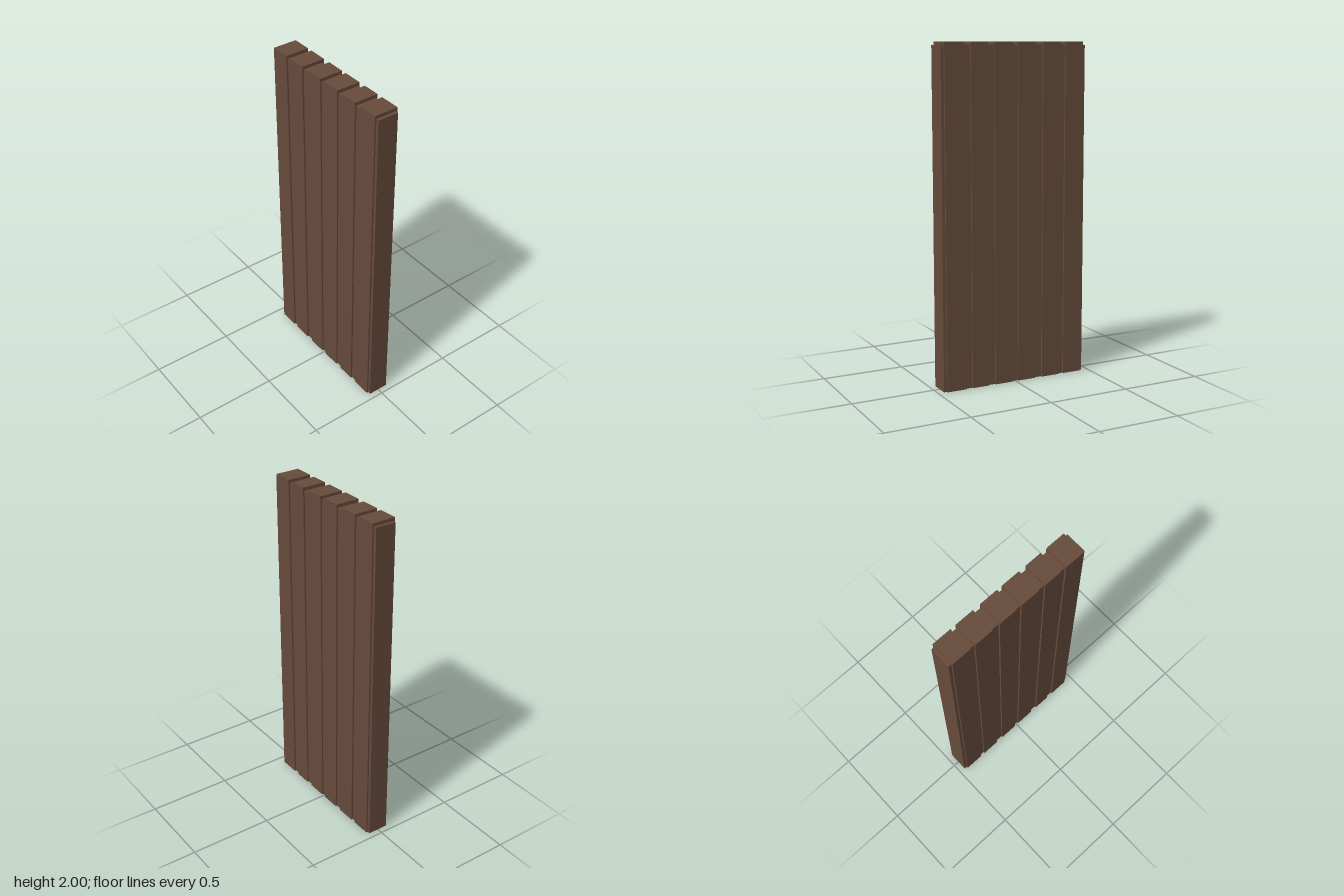
import * as THREE from 'three';

export function createModel() {
  const group = new THREE.Group();
  group.name = 'plankDoor';
  const wood = new THREE.MeshStandardMaterial({ color: 0x664b3b });

  // Upright box standing on the ground between two x positions
  function upright(name, x0, x1, height, depth) {
    const mesh = new THREE.Mesh(new THREE.BoxGeometry(x1 - x0, height, depth), wood);
    mesh.position.set((x0 + x1) / 2, height / 2, 0);
    mesh.name = name;
    group.add(mesh);
  }

  // Recessed panel visible in the gaps and at both edges
  upright('corePanel', -0.463, 0.463, 1.98, 0.126);

  // Slightly uneven vertical planks, proud of the panel on both faces and the top
  const planks = [
    [-0.445, -0.327], [-0.295, -0.179], [-0.132, -0.017],
    [0.015, 0.133], [0.178, 0.283], [0.323, 0.445],
  ];
  planks.forEach(([x0, x1], i) => upright(`plank${i + 1}`, x0, x1, 2, 0.146));

  return group;
}
